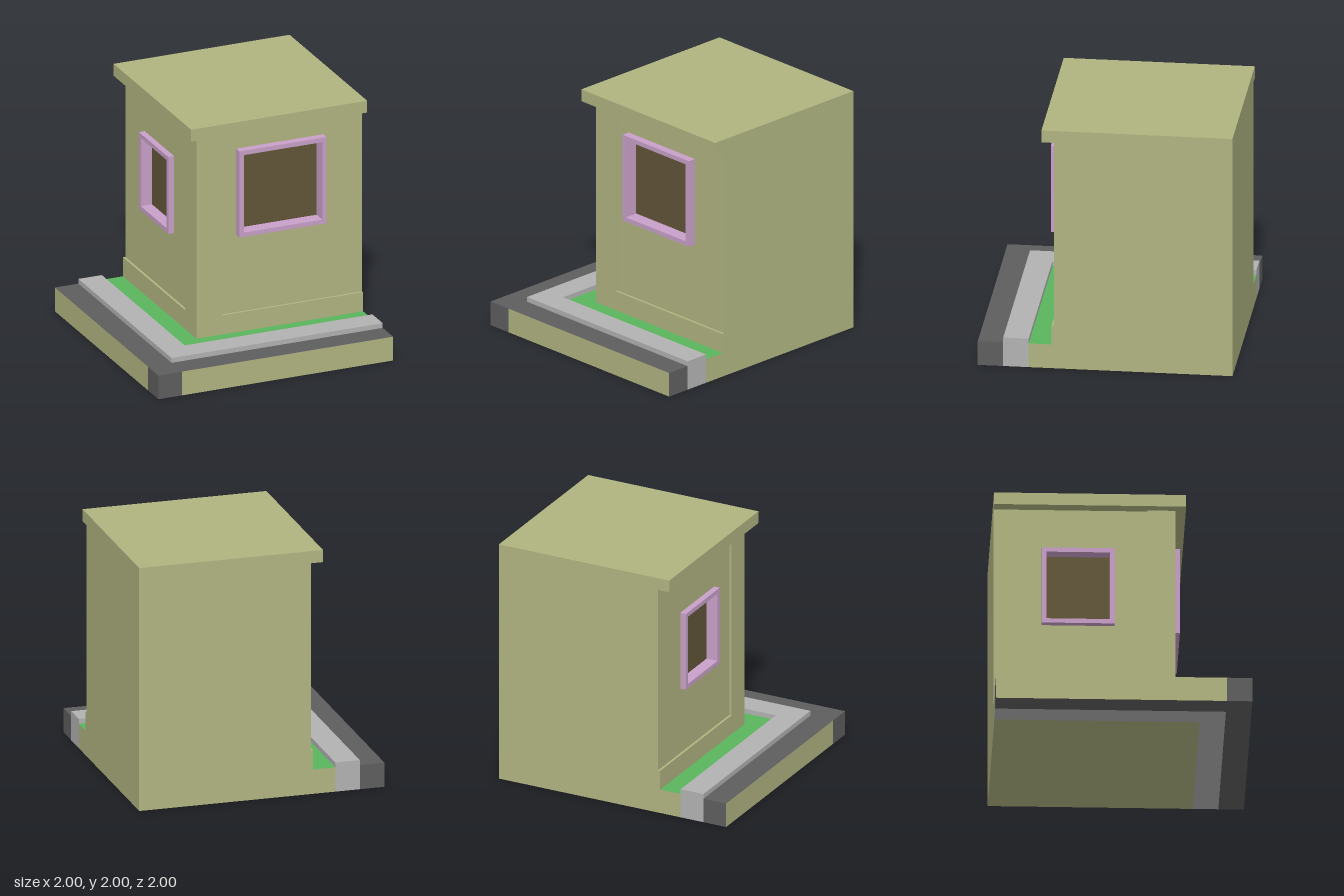
import * as THREE from 'three';

const paint = (color) => new THREE.MeshStandardMaterial({ color });
const olive = paint(0xb0b480);
const asphalt = paint(0x5e5e5e);
const stone = paint(0xb2b2b2);
const grass = paint(0x5ab55c);
const pink = paint(0xc8a0c8);
const brown = paint(0x625539);

// Box from ranges; material may be an array in the order +x, -x, +y, -y, +z, -z
function block(name, [x0, x1], [y0, y1], [z0, z1], material) {
  const mesh = new THREE.Mesh(new THREE.BoxGeometry(x1 - x0, y1 - y0, z1 - z0), material);
  mesh.position.set((x0 + x1) / 2, (y0 + y1) / 2, (z0 + z1) / 2);
  mesh.name = name;
  return mesh;
}

function rectangle(Type, [x0, x1], [y0, y1]) {
  return new Type([[x0, y0], [x1, y0], [x1, y1], [x0, y1]].map((p) => new THREE.Vector2(...p)));
}

// Rectangular slab with a rectangular hole, between two depths
function piercedSlab(name, outer, hole, [z0, z1], material) {
  const shape = rectangle(THREE.Shape, ...outer);
  shape.holes.push(rectangle(THREE.Path, ...hole));
  const geometry = new THREE.ExtrudeGeometry(shape, { depth: z1 - z0, bevelEnabled: false });
  geometry.translate(0, 0, z0);
  const mesh = new THREE.Mesh(geometry, material);
  mesh.name = name;
  return mesh;
}

// Recessed wall panel with a framed window, facing +z
function windowWall(name, wallX, winX, winY, frameFront) {
  const group = new THREE.Group();
  group.name = name;
  const t = 0.037;
  const inset = ([a, b]) => [a + t, b - t];
  const back = 0.35;
  group.add(
    piercedSlab('wallPanel', [wallX, [0.36, 1.9]], [winX, winY], [back, 0.4], olive),
    piercedSlab('windowFrame', [winX, winY], [inset(winX), inset(winY)], [back, frameFront], pink),
    block('windowPane', winX, winY, [back - 0.02, back + 0.004], brown)
  );
  return group;
}

export function createModel() {
  const model = new THREE.Group();

  // Road with earth-coloured outer sides and a plain corner
  model.add(
    block('roadCorner', [-1, -0.8], [0, 0.2], [0.8, 1], asphalt),
    block('frontRoad', [-0.8, 1], [0, 0.2], [0.8, 1],
      [asphalt, asphalt, asphalt, asphalt, olive, asphalt]),
    block('sideRoad', [-1, -0.8], [0, 0.2], [-1, 0.8],
      [asphalt, olive, asphalt, asphalt, asphalt, asphalt])
  );

  // Raised pavement
  model.add(
    block('frontPavement', [-0.8, 1], [0, 0.24], [0.6, 0.8], stone),
    block('sidePavement', [-0.8, -0.6], [0, 0.24], [-1, 0.6], stone)
  );

  // Ground with a lawn on top
  model.add(block('lawnGround', [-0.6, 1], [0, 0.2], [-1, 0.6],
    [olive, olive, grass, olive, olive, olive]));

  // Building
  model.add(
    block('plinth', [-0.42, 1], [0.2, 0.36], [-1, 0.42], olive),
    block('buildingCore', [-0.35, 1], [0.36, 1.9], [-1, 0.35], olive),
    block('cornerPillar', [-0.42, -0.2], [0.36, 1.9], [0.2, 0.42], olive),
    block('roof', [-0.5, 1], [1.9, 2], [-1, 0.5], olive)
  );

  // Window walls on the front and the right side
  model.add(windowWall('frontWall', [-0.4, 1], [-0.073, 0.67], [1.01, 1.735], 0.465));
  const sideWall = windowWall('sideWall', [-1, 0.4], [-0.625, -0.055], [0.91, 1.557], 0.45);
  sideWall.rotation.y = -Math.PI / 2;
  model.add(sideWall);

  return model;
}
